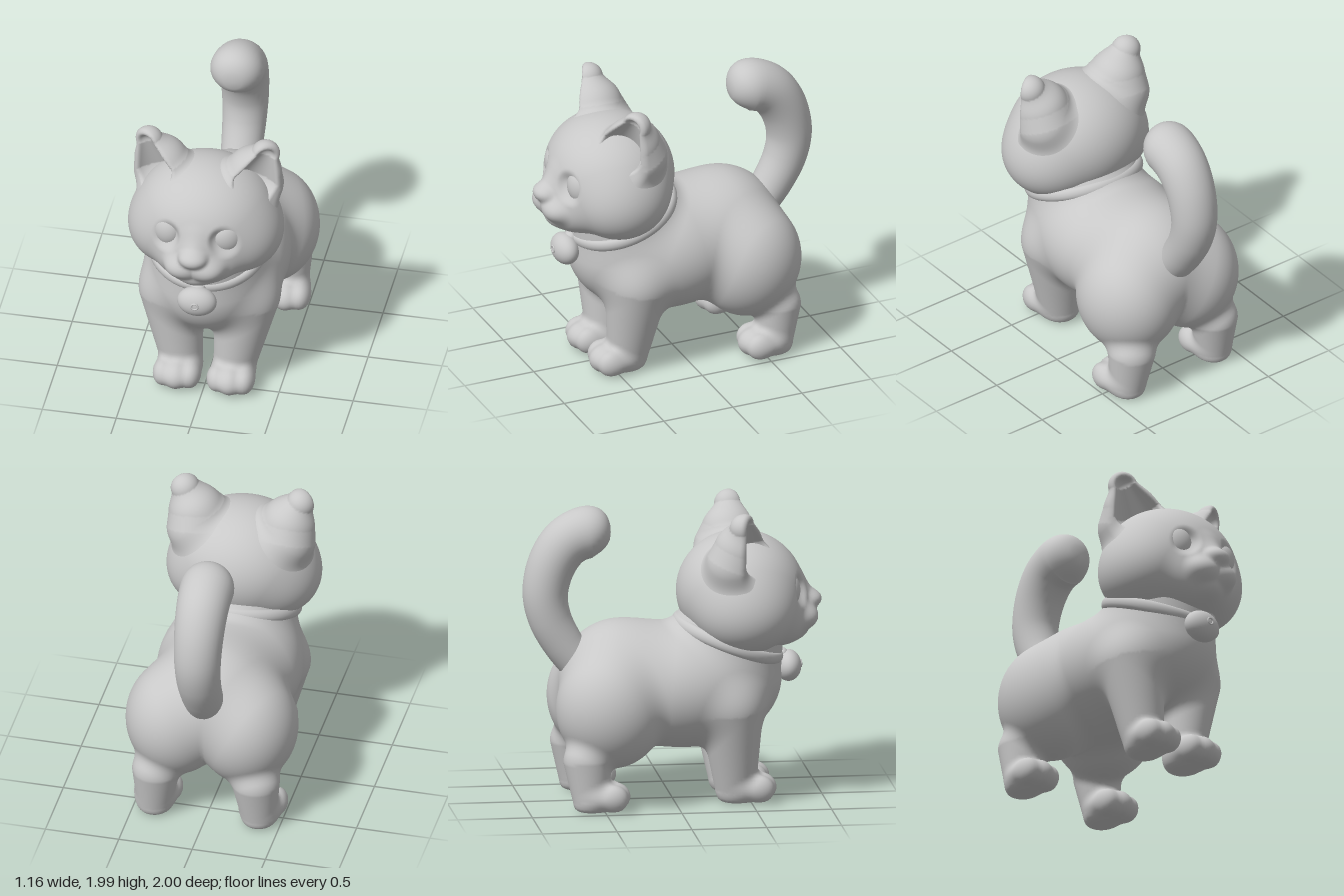
import * as THREE from 'three';
import { mergeVertices } from 'three/addons/utils/BufferGeometryUtils.js';

// --- Sculpting fields: negative inside, positive outside ---
const ellipsoid = ([x, y, z], [cx, cy, cz], [a, b, c]) => {
  const dx = (x - cx) / a, dy = (y - cy) / b, dz = (z - cz) / c;
  const k0 = Math.hypot(dx, dy, dz), k1 = Math.hypot(dx / a, dy / b, dz / c);
  return k1 < 1e-9 ? -Math.min(a, b, c) : k0 * (k0 - 1) / k1;
};
// Rounded limb from a (radius ra) to b (radius rb)
const limb = (p, a, ra, b, rb) => {
  const d = b.map((v, i) => v - a[i]), q = p.map((v, i) => v - a[i]);
  const dot = (u, v) => u[0] * v[0] + u[1] * v[1] + u[2] * v[2];
  const t = THREE.MathUtils.clamp(dot(q, d) / dot(d, d), 0, 1);
  return Math.hypot(q[0] - d[0] * t, q[1] - d[1] * t, q[2] - d[2] * t) - ra - (rb - ra) * t;
};
const blend = (a, b, k) => {
  const h = Math.max(k - Math.abs(a - b), 0) / k;
  return Math.min(a, b) - h * h * k / 4;
};
const carve = (a, b, k) => -blend(-a, b, k);

// Paw with three toes
function paw(p, cx, cz) {
  let d = ellipsoid(p, [cx, 0.1, cz], [0.152, 0.1, 0.165]);
  for (const i of [-1, 0, 1]) {
    const toe = ellipsoid(p, [cx + i * 0.095, 0.1, cz + 0.075 - Math.abs(i) * 0.02], [0.062, 0.088, 0.088]);
    d = blend(d, toe, 0.035);
  }
  return d;
}

function bodyField([px, y, z]) {
  const p = [Math.abs(px), y, z];
  // chest, rump, neck and haunches
  let d = ellipsoid(p, [0, 0.78, 0.07], [0.48, 0.425, 0.61]);
  d = blend(d, ellipsoid(p, [0, 0.8, -0.34], [0.43, 0.425, 0.42]), 0.12);
  d = blend(d, limb(p, [0, 0.84, 0.35], 0.37, [0, 1.1, 0.375], 0.365), 0.1);
  d = blend(d, ellipsoid(p, [0.235, 0.67, -0.44], [0.343, 0.4, 0.365]), 0.07);
  // forelegs
  let fore = limb(p, [0.175, 0.1, 0.40], 0.137, [0.255, 0.66, 0.36], 0.217);
  fore = blend(fore, paw(p, 0.182, 0.5), 0.05);
  d = blend(d, fore, 0.09);
  // hind legs
  let hind = limb(p, [0.355, 0.08, -0.59], 0.12, [0.34, 0.34, -0.61], 0.16);
  hind = blend(hind, paw(p, 0.358, -0.5), 0.05);
  d = blend(d, hind, 0.06);
  // flat soles
  return carve(d, y - 0.003, 0.03);
}

function headField([px, y, z]) {
  const p = [Math.abs(px), y, z];
  // skull and cheeks
  let d = ellipsoid(p, [0, 1.4, 0.455], [0.475, 0.4, 0.425]);
  d = blend(d, ellipsoid(p, [0.25, 1.29, 0.47], [0.265, 0.255, 0.3]), 0.1);
  // eye sockets
  d = carve(d, ellipsoid(p, [0.215, 1.43, 0.868], [0.115, 0.125, 0.08]), 0.03);
  // bridge, snout, muzzle lobes, chin
  d = blend(d, limb(p, [0, 1.43, 0.8], 0.07, [0, 1.345, 0.885], 0.07), 0.08);
  d = blend(d, ellipsoid(p, [0, 1.22, 0.73], [0.25, 0.19, 0.19]), 0.1);
  let muzzle = ellipsoid(p, [0.08, 1.23, 0.865], [0.115, 0.083, 0.1]);
  muzzle = blend(muzzle, ellipsoid(p, [0, 1.145, 0.825], [0.09, 0.065, 0.08]), 0.02);
  d = blend(d, muzzle, 0.05);
  // nose
  return blend(d, ellipsoid(p, [0, 1.33, 0.922], [0.092, 0.06, 0.076]), 0.03);
}

// Cupped ear facing forward and outward, with a skirt that flows into the head
function earField([px, y, z]) {
  const p = [Math.abs(px), y, z];
  const root = limb(p, [0.305, 1.63, 0.385], 0.2, [0.315, 1.73, 0.42], 0.185);
  const tip = limb(p, [0.315, 1.73, 0.435], 0.188, [0.395, 1.9, 0.43], 0.097);
  const shell = carve(blend(root, tip, 0.03), 0.617 - 0.51 * p[0] - 0.86 * z, 0.03);
  const cup = limb(p, [0.35, 1.715, 0.52], 0.155, [0.408, 1.89, 0.476], 0.064);
  const skirted = Math.max(blend(shell, headField(p) + 0.006, 0.07), shell - 0.08);
  return carve(skirted, cup, 0.025);
}

// Turns a field into a smooth mesh: one vertex per crossed cell, one quad per crossed edge
function sculpt(f, min, max, step) {
  const n = min.map((m, i) => Math.ceil((max[i] - m) / step) + 1);
  const stride = [1, n[0], n[0] * n[1]];
  const at = (i, j, k) => [min[0] + i * step, min[1] + j * step, min[2] + k * step];
  const val = new Float32Array(n[0] * n[1] * n[2]);
  const id = new Int32Array(val.length).fill(-1);
  const each = (lo, cut, fn) => {
    for (let k = lo; k < n[2] - cut; k++) for (let j = lo; j < n[1] - cut; j++)
      for (let i = lo; i < n[0] - cut; i++) fn(i, j, k, i + j * stride[1] + k * stride[2]);
  };
  const grad = (p) => {
    const e = 0.002;
    return new THREE.Vector3(...[0, 1, 2].map((a) => {
      const u = [...p], v = [...p];
      u[a] += e; v[a] -= e;
      return (f(u) - f(v)) / (2 * e);
    }));
  };
  each(0, 0, (i, j, k, o) => { val[o] = f(at(i, j, k)); });
  const pos = [], nor = [], idx = [];
  each(0, 1, (i, j, k, o) => {
    const sum = [0, 0, 0];
    let count = 0;
    for (let c = 0; c < 8; c++) for (let a = 0; a < 3; a++) {
      if (c >> a & 1) continue;
      const bits = [c & 1, c >> 1 & 1, c >> 2 & 1];
      const s = o + bits[0] + bits[1] * stride[1] + bits[2] * stride[2];
      const v0 = val[s], v1 = val[s + stride[a]];
      if ((v0 < 0) === (v1 < 0)) continue;
      bits[a] += v0 / (v0 - v1);
      bits.forEach((b, m) => { sum[m] += b; });
      count++;
    }
    if (!count) return;
    id[o] = pos.length / 3;
    const p = at(i + sum[0] / count, j + sum[1] / count, k + sum[2] / count);
    const g = grad(p), slide = f(p) / Math.max(g.lengthSq(), 0.3);
    pos.push(p[0] - g.x * slide, p[1] - g.y * slide, p[2] - g.z * slide);
    nor.push(...g.normalize().toArray());
  });
  each(1, 1, (i, j, k, o) => {
    for (let a = 0; a < 3; a++) {
      const inside = val[o] < 0;
      if (inside === (val[o + stride[a]] < 0)) continue;
      const b = stride[(a + 1) % 3], c = stride[(a + 2) % 3];
      const q = [id[o], id[o - b], id[o - b - c], id[o - c]];
      if (!inside) q.reverse();
      idx.push(q[0], q[1], q[2], q[0], q[2], q[3]);
    }
  });
  const g = new THREE.BufferGeometry();
  g.setAttribute('position', new THREE.Float32BufferAttribute(pos, 3));
  g.setAttribute('normal', new THREE.Float32BufferAttribute(nor, 3));
  return g.setIndex(idx);
}

// Curved tail: a tube that swells toward a rounded tip
function tailGeometry() {
  const curve = new THREE.CatmullRomCurve3([
    [0.92, -0.62], [1.08, -0.735], [1.25, -0.82], [1.42, -0.848], [1.62, -0.8], [1.76, -0.7], [1.82, -0.57], [1.815, -0.41],
  ].map(([y, z]) => new THREE.Vector3(0, y, z)));
  const rings = 120, sides = 32, start = 0.865;
  const g = new THREE.TubeGeometry(curve, rings, 1, sides);
  const pos = g.attributes.position, v = new THREE.Vector3();
  for (let i = 0; i <= rings; i++) {
    const t = i / rings, c = curve.getPointAt(t);
    const cap = t > start ? Math.sqrt(Math.max(0, 1 - ((t - start) / (1 - start)) ** 2)) : 1;
    const r = (0.125 + 0.05 * Math.min(1, t / 0.85)) * cap;
    for (let s = 0; s <= sides; s++) {
      const o = i * (sides + 1) + s;
      v.fromBufferAttribute(pos, o).sub(c).multiplyScalar(r).add(c);
      pos.setXYZ(o, v.x * 1.03, v.y, v.z);
    }
  }
  g.deleteAttribute('uv');
  g.deleteAttribute('normal');
  const merged = mergeVertices(g, 1e-5);
  merged.computeVertexNormals();
  return merged;
}

export function createModel() {
  const model = new THREE.Group();
  model.name = 'cat';
  const grey = new THREE.MeshStandardMaterial({ color: 0xc8c8c8 });
  grey.name = 'clay grey';
  const add = (name, geometry, position = [0, 0, 0], scale = [1, 1, 1]) => {
    const mesh = new THREE.Mesh(geometry, grey);
    mesh.name = name;
    mesh.position.set(...position);
    mesh.scale.set(...scale);
    model.add(mesh);
    return mesh;
  };

  add('body', sculpt(bodyField, [-0.65, -0.05, -0.87], [0.65, 1.52, 0.8], 0.02));
  add('head', sculpt(headField, [-0.6, 0.93, -0.03], [0.6, 1.86, 1.06], 0.015));
  add('leftEar', sculpt(earField, [0.02, 1.3, 0.06], [0.62, 2.04, 0.72], 0.012));
  add('rightEar', sculpt(earField, [-0.62, 1.3, 0.06], [-0.02, 2.04, 0.72], 0.012));
  add('tail', tailGeometry());

  // eyes
  const ball = new THREE.SphereGeometry(1, 40, 28);
  for (const [name, s] of [['leftEye', 1], ['rightEye', -1]]) {
    add(name, ball, [s * 0.205, 1.43, 0.747], [0.105, 0.12, 0.08]).rotation.y = s * 0.42;
  }

  // collar, sloping down to the front, with its bell
  add('collar', new THREE.TorusGeometry(0.378, 0.03, 16, 72), [0, 1.08, 0.37], [1, 0.96, 1.4])
    .rotation.x = Math.PI / 2 + 0.37;
  add('bellLoop', ball, [0, 0.96, 0.735], [0.05, 0.04, 0.04]);
  add('bell', ball, [0, 0.88, 0.775], [0.133, 0.105, 0.087]);
  add('bellHoleRim', new THREE.TorusGeometry(0.022, 0.007, 10, 28), [0, 0.89, 0.86]);
  return model;
}
